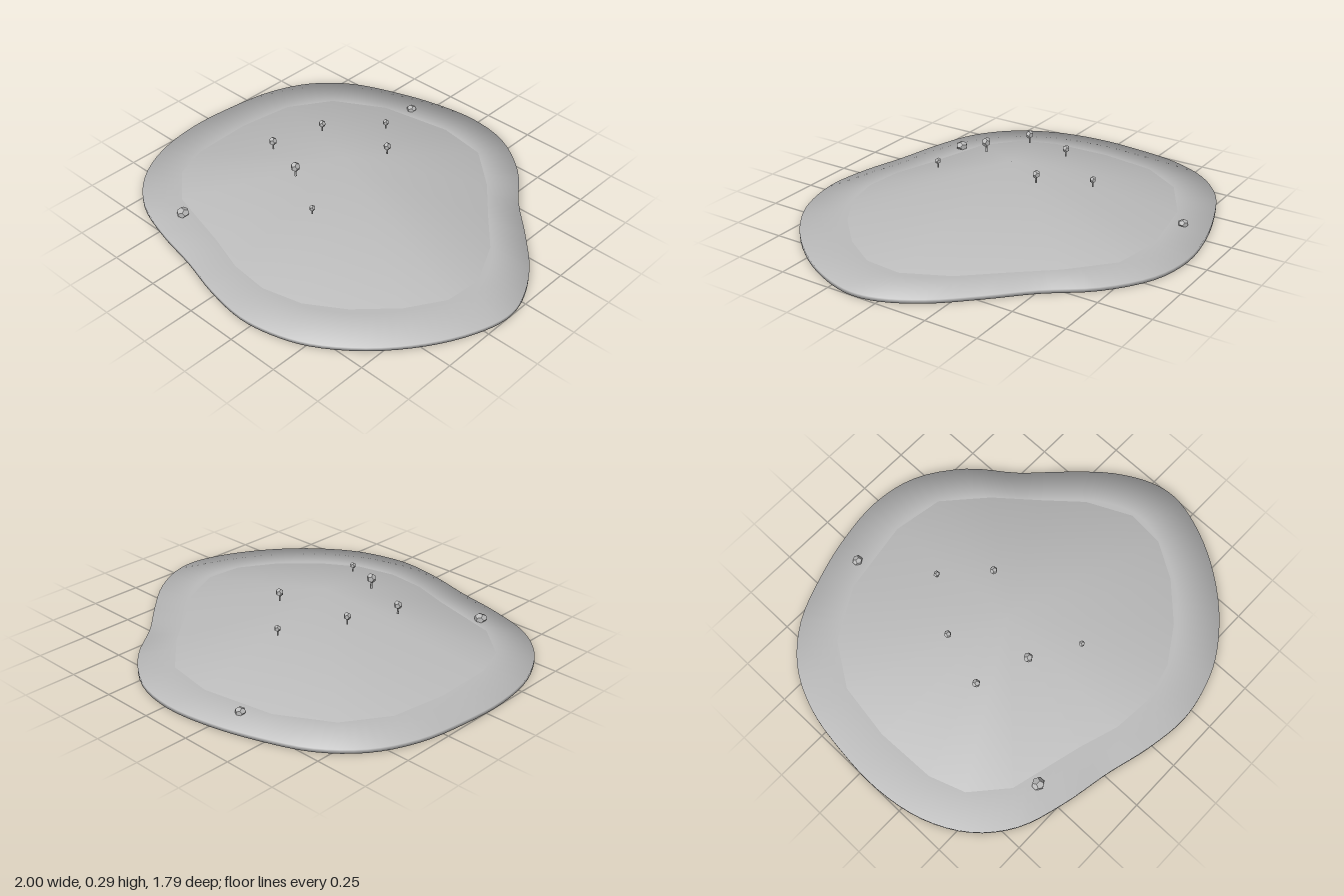
import * as THREE from 'three';

const stone = new THREE.MeshStandardMaterial({ color: 0xbcbcbc });
stone.name = 'light grey';

// Shoreline and hill foot as x, z pairs, clockwise seen from above
const SHORE = [
  -0.02, -0.9, 0.2, -0.855, 0.41, -0.71, 0.57, -0.51, 0.73, -0.35, 0.89, -0.17, 0.98, 0, 1, 0.13,
  0.96, 0.29, 0.86, 0.48, 0.7, 0.67, 0.51, 0.81, 0.35, 0.87, 0.19, 0.893, -0.02, 0.866, -0.235, 0.81,
  -0.476, 0.76, -0.69, 0.685, -0.85, 0.55, -0.957, 0.35, -1, 0.11, -0.99, -0.13, -0.947, -0.374,
  -0.85, -0.57, -0.69, -0.716, -0.476, -0.81, -0.26, -0.872,
];
const FOOT = [
  -0.05, -0.72, 0.19, -0.68, 0.38, -0.51, 0.54, -0.32, 0.68, -0.16, 0.78, 0.05, 0.765, 0.23, 0.66, 0.4,
  0.5, 0.56, 0.33, 0.67, 0.14, 0.717, -0.05, 0.7, -0.235, 0.64, -0.58, 0.55, -0.74, 0.41, -0.8, 0.24,
  -0.81, -0.05, -0.77, -0.32, -0.64, -0.52, -0.4, -0.66,
];

function pairs(list) {
  const points = [];
  for (let i = 0; i < list.length; i += 2) points.push(new THREE.Vector3(list[i], 0, list[i + 1]));
  return points;
}

function mesh(name, geometry) {
  const m = new THREE.Mesh(geometry, stone);
  m.name = name;
  return m;
}

function surface(positions, index) {
  const g = new THREE.BufferGeometry();
  g.setAttribute('position', new THREE.Float32BufferAttribute(positions, 3));
  g.setIndex(index);
  g.computeVertexNormals();
  return g;
}

// Thin slab with a softly rounded rim: bottom rim, top rim and inner top ring
function beachGeometry() {
  const N = 108;
  const curve = new THREE.CatmullRomCurve3(pairs(SHORE), true);
  const positions = [], normals = [], index = [];
  const rings = [[1, 0, -1], [1, 0.018, 1], [0.8, 0.028, 0]]; // scale, height, rim slope
  for (const [scale, y, slope] of rings) {
    for (let i = 0; i < N; i++) {
      const p = curve.getPoint(i / N), t = curve.getTangent(i / N);
      positions.push(p.x * scale, y, p.z * scale);
      const n = slope ? new THREE.Vector3(t.z, slope, -t.x).normalize() : new THREE.Vector3(0, 1, 0);
      normals.push(n.x, n.y, n.z);
    }
  }
  positions.push(0, 0, 0, 0, 0.028, 0);
  normals.push(0, -1, 0, 0, 1, 0);
  for (let i = 0; i < N; i++) {
    const j = (i + 1) % N;
    for (let r = 0; r < 2; r++) {
      const a = r * N + i, b = r * N + j;
      index.push(a, a + N, b, b, a + N, b + N);
    }
    index.push(3 * N, i, j); // underside
    index.push(3 * N + 1, 2 * N + j, 2 * N + i); // top
  }
  const g = surface(positions, index);
  g.setAttribute('normal', new THREE.Float32BufferAttribute(normals, 3));
  return g;
}

// Low cone rising to a single peak
function hillGeometry() {
  const ring = pairs(FOOT), positions = [-0.05, 0.25, 0.02], index = [];
  ring.forEach((p, i) => {
    positions.push(p.x, 0.029, p.z);
    index.push(0, ((i + 1) % ring.length) + 1, i + 1);
  });
  return surface(positions, index);
}

function tree(x, y, z, r) {
  const g = new THREE.Group();
  g.name = 'tree';
  const crown = mesh('crown', new THREE.DodecahedronGeometry(r, 0));
  crown.scale.y = 1.1;
  const trunk = mesh('trunk', new THREE.CylinderGeometry(r * 0.18, r * 0.25, r * 2.2, 6));
  trunk.position.y = -r * 1.2;
  g.add(crown, trunk);
  g.position.set(x, y, z);
  return g;
}

function rock(x, y, z, r) {
  const m = mesh('rock', new THREE.DodecahedronGeometry(r, 0));
  m.scale.y = 0.75;
  m.position.set(x, y, z);
  return m;
}

export function createModel() {
  const island = new THREE.Group();
  island.name = 'island';
  island.add(mesh('beach', beachGeometry()), mesh('hill', hillGeometry()));

  const trees = [
    [-0.13, 0.218, -0.36, 0.015], [0.05, 0.265, -0.17, 0.018], [-0.31, 0.25, -0.11, 0.017],
    [-0.385, 0.242, 0.14, 0.019], [-0.145, 0.265, 0.23, 0.022], [0.08, 0.22, 0.35, 0.014],
  ];
  for (const t of trees) island.add(tree(...t));
  island.add(rock(-0.295, 0.033, -0.74, 0.025), rock(-0.49, 0.04, 0.62, 0.031));
  return island;
}
